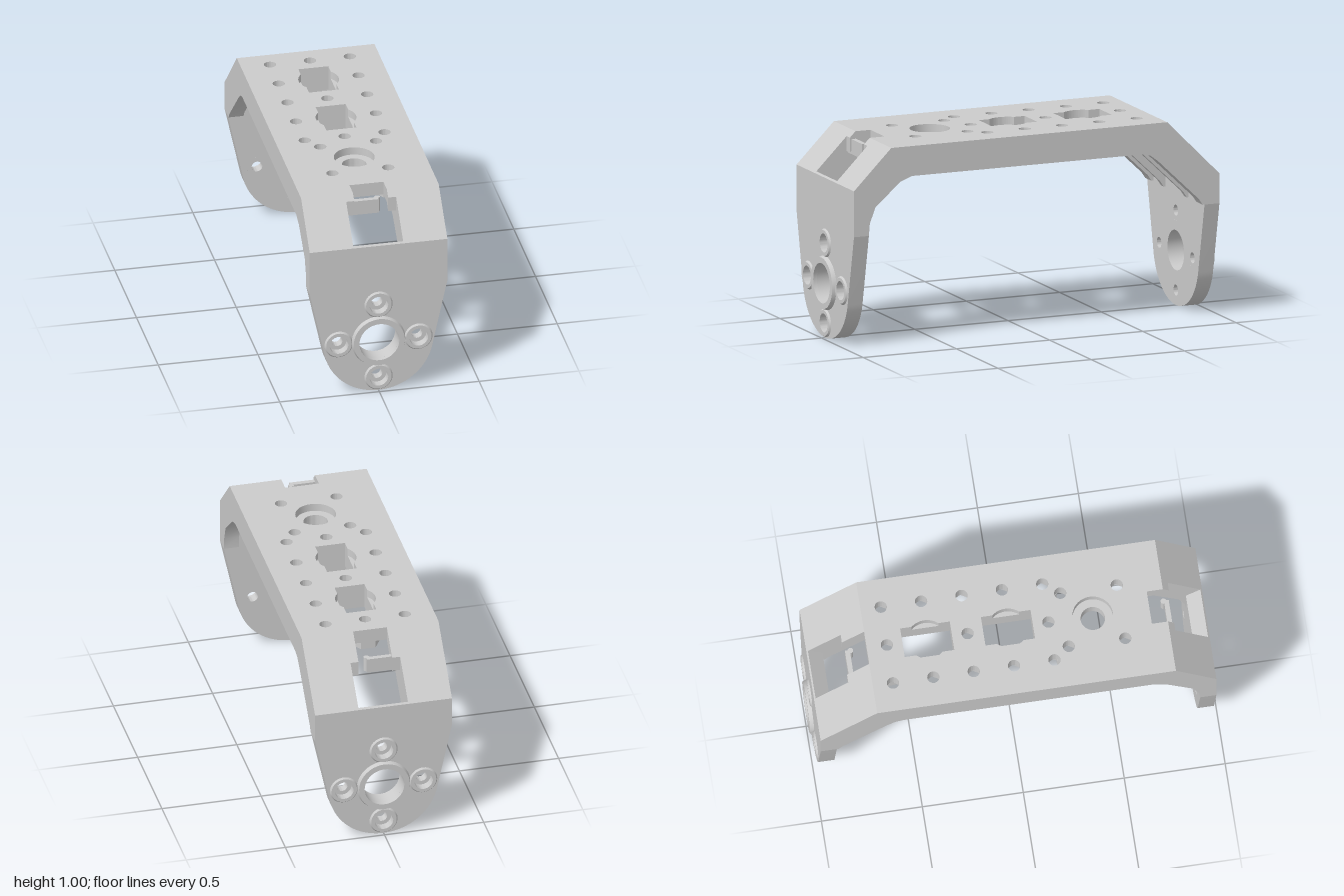
import * as THREE from 'three';
import { toCreasedNormals } from 'three/addons/utils/BufferGeometryUtils.js';

const material = new THREE.MeshStandardMaterial({ color: 0xcccccc });
const W = 0.345; // half width
const RAIL = 0.27; // inner edge of the side rails

// Corner data: chamfer start, chamfer end height, inner outline from leg to roof
const ends = [
  { s: 1, a: 0.78, b: 0.8, clipY: 0.925, inner: [[0.9, 0.57], [0.895, 0.63], [0.865, 0.71], [0.73, 0.827], [0.67, 0.85]] },
  { s: -1, a: 0.7, b: 0.72, clipY: 0.855, inner: [[0.89, 0.57], [0.87, 0.6], [0.65, 0.81], [0.61, 0.84], [0.57, 0.85]] },
];

function add(parent, name, geo) {
  const mesh = new THREE.Mesh(toCreasedNormals(geo, 0.5), material);
  mesh.name = name;
  parent.add(mesh);
  return mesh;
}
const poly = (pts) => new THREE.Shape(pts.map(([x, y]) => new THREE.Vector2(x, y)));
const extrude = (shape, depth) => new THREE.ExtrudeGeometry(shape, { depth, bevelEnabled: false, curveSegments: 24 });

// Side outline (z, y) swept from x0 to x1
function slab(parent, name, pts, x0, x1) {
  add(parent, name, extrude(poly(pts), x1 - x0).rotateY(-Math.PI / 2).translate(x1, 0, 0));
}
// Plan outline (x, z) swept from top down to bottom
function layer(parent, name, shape, top, bottom) {
  return add(parent, name, extrude(shape, top - bottom).rotateX(Math.PI / 2).translate(0, top, 0));
}
function circle(x, y, r) {
  const p = new THREE.Path();
  p.absarc(x, y, r, 0, Math.PI * 2, true);
  return p;
}
function ngon(n, x, y, r, turn = 0) {
  return poly(Array.from({ length: n }, (_, i) => {
    const t = turn + (i / n) * Math.PI * 2;
    return [x + r * Math.cos(t), y + r * Math.sin(t)];
  }));
}
const rect = (x0, x1, z0, z1) => poly([[x0, z0], [x1, z0], [x1, z1], [x0, z1]]);

// Slot widened by a shallow round recess
function roundSlot(z) {
  const p = new THREE.Path(), k = Math.acos(0.75);
  p.moveTo(-0.075, z - 0.123);
  p.lineTo(0.075, z - 0.123);
  p.absarc(0, z, 0.1, -k, k, false);
  p.lineTo(0.075, z + 0.123);
  p.lineTo(-0.075, z + 0.123);
  p.absarc(0, z, 0.1, Math.PI - k, Math.PI + k, false);
  p.closePath();
  return p;
}

function buildRoof(root) {
  const roof = new THREE.Group();
  roof.name = 'roof';
  root.add(roof);
  const holes = [];
  for (const z of [-0.6, -0.2, 0.2]) for (const x of [-0.2, 0, 0.2]) holes.push([x, z]);
  for (const x of [-0.2, 0.2]) holes.push([x, -0.4], [x, 0]);
  for (const x of [-0.14, 0.14]) holes.push([x, 0.28], [x, 0.56]);
  const slots = [-0.4, 0];

  // Two layers give the stepped recesses
  for (const upper of [true, false]) {
    const s = poly([[-RAIL, -0.7], [RAIL, -0.7], [RAIL, 0.78], [0.085, 0.78], [0.085, 0.7],
      [-0.085, 0.7], [-0.085, 0.78], [-RAIL, 0.78]]);
    holes.forEach(([x, z]) => s.holes.push(circle(x, z, 0.03)));
    s.holes.push(circle(0, 0.42, upper ? 0.1 : 0.06));
    slots.forEach((z) => s.holes.push(upper ? roundSlot(z) : rect(-0.075, 0.075, z - 0.123, z + 0.123)));
    layer(roof, upper ? 'upperPlate' : 'lowerPlate', s, upper ? 1 : 0.96, upper ? 0.96 : 0.93);
  }

  // Hexagonal nut pockets on the underside
  for (const [x, z] of holes) {
    const s = ngon(6, x, z, 0.074);
    s.holes.push(ngon(6, x, z, 0.052));
    layer(roof, 'nutPocket', s, 0.93, 0.87);
  }
  // Walls around the slots and a pad around the large hole
  for (const z of slots) {
    const s = rect(-0.1, 0.1, z - 0.145, z + 0.145);
    s.holes.push(rect(-0.075, 0.075, z - 0.123, z + 0.123));
    layer(roof, 'slotWall', s, 0.93, 0.87);
  }
  const pad = ngon(8, 0, 0.42, 0.135, Math.PI / 8);
  pad.holes.push(circle(0, 0.42, 0.06));
  layer(roof, 'largeHolePad', pad, 0.93, 0.9);

  // Thin ribs between the pockets
  const rib = (x0, z0, x1, z1) => {
    const len = Math.hypot(x1 - x0, z1 - z0) - 0.13;
    add(roof, 'roofRib', new THREE.BoxGeometry(len, 0.05, 0.018)
      .rotateY(-Math.atan2(z1 - z0, x1 - x0)).translate((x0 + x1) / 2, 0.905, (z0 + z1) / 2));
  };
  for (const s of [-1, 1]) {
    for (const z of [-0.6, -0.2, 0.2]) rib(0, z, s * 0.2, z);
    for (let i = 0; i < 4; i++) rib(s * 0.2, -0.6 + i * 0.2, s * 0.2, -0.4 + i * 0.2);
    rib(s * 0.14, 0.28, s * 0.14, 0.56);
  }
}

function buildLeg(root, s) {
  const leg = new THREE.Group();
  leg.name = s > 0 ? 'frontLeg' : 'backLeg';
  if (s < 0) leg.rotation.y = Math.PI;
  root.add(leg);
  const bolts = [[0, 0.475], [0, 0.075], [0.2, 0.275], [-0.2, 0.275]];

  const plate = new THREE.Shape();
  plate.moveTo(W, 0.57);
  plate.lineTo(-W, 0.57);
  plate.absarc(0, 0.275, 0.275, Math.PI + 0.22, Math.PI * 2 - 0.22, false);
  plate.closePath();
  plate.holes.push(circle(0, 0.275, 0.1));
  bolts.forEach(([x, y]) => plate.holes.push(circle(x, y, 0.05)));
  add(leg, 'legPlate', extrude(plate, 0.08).translate(0, 0, 0.9));

  // Raised rings, turned profiles (radius, height above the plate)
  const ring = (name, pts, x, y) => add(leg, name,
    new THREE.LatheGeometry(pts.map(([r, h]) => new THREE.Vector2(r, h)), 40)
      .rotateX(Math.PI / 2).translate(x, y, 0.98));
  ring('bearingRing', [[0.1, 0], [0.135, 0], [0.128, 0.02], [0.1, 0.02], [0.1, 0]], 0, 0.275);
  for (const [x, y] of bolts) {
    ring('boltSeat', [[0.05, -0.08], [0.05, 0], [0.071, 0], [0.064, 0.009], [0.047, 0.009],
      [0.047, -0.035], [0.027, -0.035], [0.027, -0.08], [0.05, -0.08]], x, y);
  }
}

function buildCorner(root, { s, a, b, clipY, inner }) {
  const corner = new THREE.Group();
  corner.name = s > 0 ? 'frontCorner' : 'backCorner';
  root.add(corner);
  const side = (pts) => pts.map(([z, y]) => [s * z, y]);
  const onSlope = (z) => 1 - (z - a); // chamfer height at z
  const last = inner[inner.length - 1];

  const skin = side([[0.98, 0.57], [0.98, b], [a, 1], [a, 0.93], [a - 0.01, 0.93],
    [0.9, onSlope(0.9) - 0.075], [0.9, 0.57]]);
  const rib = side([[0.98, 0.57], [0.98, b], [a, 1], [a, 0.95], [last[0], 0.95], ...[...inner].reverse()]);
  // Narrow part of the window beside the clip
  const cheek = side([[a, 1], [0.81, onSlope(0.81)], [0.81, onSlope(0.81) - 0.075], [a, 0.93]]);
  for (const m of [-1, 1]) {
    const span = (name, pts, x0, x1) => slab(corner, name, pts, Math.min(m * x0, m * x1), Math.max(m * x0, m * x1));
    span('cornerSkin', skin, 0.155, RAIL);
    span('windowRib', rib, 0.125, 0.155);
    span('windowCheek', cheek, 0.085, 0.125);
  }
  // Leg top below the window, with a sloping sill
  slab(corner, 'windowSill', side([[0.98, 0.57], [0.98, b], [0.972, b + 0.008], [0.9, b - 0.05], [0.9, 0.57]]), -0.125, 0.125);

  // Hooked clip reaching across the window
  add(corner, 'clipArm', new THREE.BoxGeometry(0.165, 0.075, 0.024).translate(-0.0425, clipY, s * 0.79));
  add(corner, 'clipHook', new THREE.CylinderGeometry(0.014, 0.014, 0.075, 16).translate(0.037, clipY, s * 0.775));
}

export function createModel() {
  const root = new THREE.Group();
  root.name = 'bracket';
  buildRoof(root);

  // Full depth side rails
  const [f, k] = ends;
  const outline = [[0.98, 0.57], [0.98, f.b], [f.a, 1], [-k.a, 1], [-0.98, k.b], [-0.98, 0.57],
    ...k.inner.map(([z, y]) => [-z, y]), ...[...f.inner].reverse()];
  slab(root, 'leftRail', outline, RAIL, W);
  slab(root, 'rightRail', outline, -W, -RAIL);

  for (const e of ends) {
    buildCorner(root, e);
    buildLeg(root, e.s);
  }
  return root;
}
